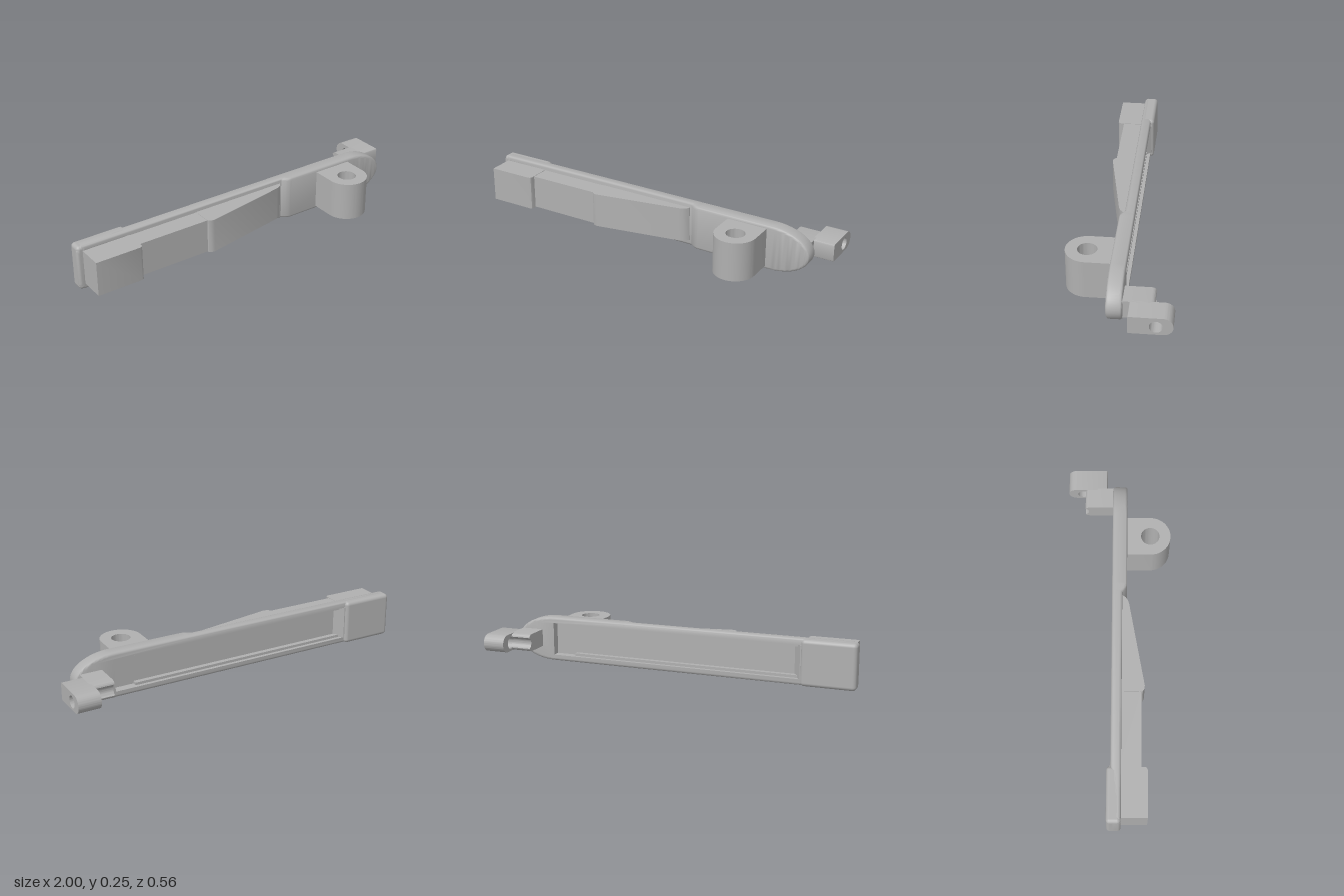
import * as THREE from 'three';
import { toCreasedNormals } from 'three/addons/utils/BufferGeometryUtils.js';
import { RoundedBoxGeometry } from 'three/addons/geometries/RoundedBoxGeometry.js';

const CY = 0.1225; // mid height and half height of the body
const X0 = -1, X1 = 0.915, CX = (X0 + X1) / 2, HX = (X1 - X0) / 2;

// half height of the body outline at x
function halfHeight(x) {
  if (x < -0.97) return CY - 0.03 + Math.sqrt(Math.max(0, 0.0009 - (x + 0.97) ** 2));
  if (x > 0.7) return CY * Math.sqrt(Math.max(0, 1 - ((x - 0.7) / 0.215) ** 2));
  return CY;
}

// front surface: thin along the left, stepping up to a thick pad
function frontZ(x) {
  const t = THREE.MathUtils.clamp((x - 0.24) / 0.05, 0, 1);
  return 0.02 + 0.025 * Math.sin(t * Math.PI / 2);
}

function stations() {
  const xs = [];
  for (let i = 0; i <= 6; i++) xs.push(-0.97 - 0.03 * Math.cos(i / 6 * Math.PI / 2));
  for (let i = 0; i <= 5; i++) xs.push(0.24 + 0.01 * i);
  for (let i = 0; i <= 20; i++) xs.push(0.7 + 0.215 * Math.sin(i / 20 * Math.PI / 2));
  return xs;
}

// closed outline (counter-clockwise from the front), inset by d
function outline(d, zOf) {
  const xs = stations(), sx = 1 - d / HX, sy = 1 - d / CY;
  const at = (x, s) => new THREE.Vector3(CX + (x - CX) * sx, CY + s * halfHeight(x) * sy, zOf(x));
  return [...xs.map(x => at(x, -1)), ...xs.map(x => at(x, 1)).reverse()];
}

function bodyShell() {
  const pos = [];
  const quad = (a, b, c, d) => [a, b, c, a, c, d].forEach(p => pos.push(p.x, p.y, p.z));
  const loops = [];
  const R = 0.014, steps = 4;
  for (let i = 0; i <= steps; i++) { // rounded back edge
    const t = i / steps * Math.PI / 2;
    loops.push(outline(R * (1 - Math.sin(t)), () => -0.035 + R * (1 - Math.cos(t))));
  }
  for (let i = 0; i <= steps; i++) { // rounded front edge
    const t = i / steps * Math.PI / 2;
    loops.push(outline(R * (1 - Math.cos(t)), x => frontZ(x) - R * (1 - Math.sin(t))));
  }
  const n = loops[0].length;
  for (let k = 0; k + 1 < loops.length; k++)
    for (let i = 0; i < n; i++) {
      const j = (i + 1) % n;
      quad(loops[k][i], loops[k][j], loops[k + 1][j], loops[k + 1][i]);
    }
  const f = loops[loops.length - 1]; // front face
  for (let i = 0; i < n / 2 - 1; i++) quad(f[i], f[i + 1], f[n - 2 - i], f[n - 1 - i]);
  // recess walls and floor
  const rect = z => [[-0.72, 0.033], [0.7, 0.033], [0.7, 0.213], [-0.72, 0.213]]
    .map(p => new THREE.Vector3(p[0], p[1], z));
  const a = rect(-0.035), b = rect(0.01);
  for (let i = 0; i < 4; i++) {
    const j = (i + 1) % 4;
    quad(a[j], a[i], b[i], b[j]);
  }
  quad(b[3], b[2], b[1], b[0]);
  // back face around the recess
  const shape = new THREE.Shape(loops[0].map(p => new THREE.Vector2(p.x, p.y)));
  shape.holes.push(new THREE.Path(a.map(p => new THREE.Vector2(p.x, p.y)).reverse()));
  const s = new THREE.ShapeGeometry(shape).toNonIndexed().attributes.position;
  for (let i = 0; i < s.count; i += 3)
    for (const k of [0, 2, 1]) pos.push(s.getX(i + k), s.getY(i + k), -0.035);
  const g = new THREE.BufferGeometry();
  g.setAttribute('position', new THREE.Float32BufferAttribute(pos, 3));
  return toCreasedNormals(g, 0.6);
}

const poly = pts => new THREE.Shape(pts.map(p => new THREE.Vector2(p[0], p[1])));

// extrude an (x, z) shape between two heights
function extrudeY(shape, y0, y1) {
  const g = new THREE.ExtrudeGeometry(shape, { depth: y1 - y0, bevelEnabled: false, curveSegments: 24 });
  return toCreasedNormals(g.rotateX(Math.PI / 2).translate(0, y1, 0), 0.5);
}

// extrude a (z, y) shape between two x positions
function extrudeX(shape, x0, x1) {
  const g = new THREE.ExtrudeGeometry(shape, { depth: x1 - x0, bevelEnabled: false, curveSegments: 20 });
  return toCreasedNormals(g.rotateY(-Math.PI / 2).translate(x1, 0, 0), 0.5);
}

export function createModel() {
  const group = new THREE.Group();
  const grey = new THREE.MeshStandardMaterial({ color: 0xb0b0b0, side: THREE.DoubleSide });
  grey.name = 'plain grey';
  const add = (name, geometry, x = 0, y = 0, z = 0) => {
    const m = new THREE.Mesh(geometry, grey);
    m.name = name;
    m.position.set(x, y, z);
    group.add(m);
  };

  add('body', bodyShell());
  add('endCap', new RoundedBoxGeometry(0.29, 0.245, 0.075, 4, 0.02), -0.855, CY, -0.0175);

  // inside of the recess: side rails and the ramp by the cap
  for (const [name, y] of [['lowerRail', 0.04], ['upperRail', 0.206]])
    add(name, new THREE.BoxGeometry(1.3, 0.014, 0.026), -0.07, y, -0.003);
  add('recessRamp', extrudeY(poly([[-0.72, 0.011], [-0.72, -0.04], [-0.705, -0.04], [-0.665, 0.011]]), 0.033, 0.213));

  // raised blocks on the front
  add('endBlock', extrudeY(poly([[-0.97, 0.011], [-0.71, 0.011], [-0.71, 0.14], [-0.714, 0.15],
    [-0.725, 0.155], [-0.97, 0.155]]), 0.032, 0.22));
  add('middleBlock', extrudeY(poly([[-0.71, 0.011], [-0.31, 0.011], [-0.31, 0.122], [-0.71, 0.122]]), 0.034, 0.218));
  add('wedge', extrudeY(poly([[-0.314, 0.011], [0.225, 0.011], [0.225, 0.022], [0.215, 0.037], [0.2, 0.048],
    [0.18, 0.056], [-0.28, 0.14], [-0.298, 0.138], [-0.31, 0.13], [-0.314, 0.118]]), 0.032, 0.22));

  // round lug with an upright hole
  const lug = new THREE.Shape();
  lug.moveTo(0.46, 0.03);
  lug.lineTo(0.68, 0.03);
  lug.lineTo(0.68, 0.17);
  lug.absarc(0.57, 0.17, 0.11, 0, Math.PI, false);
  lug.closePath();
  lug.holes.push(new THREE.Path().absarc(0.57, 0.17, 0.05, 0, Math.PI * 2, true));
  add('lug', extrudeY(lug, 0.017, 0.228));

  // stem behind the tip, hollowed where the pin hole passes
  const stem = new THREE.Shape();
  stem.moveTo(-0.02, 0.077);
  stem.lineTo(-0.02, 0.172);
  stem.lineTo(-0.165, 0.172);
  stem.quadraticCurveTo(-0.185, 0.17, -0.188, 0.154);
  stem.absarc(-0.2, 0.1245, 0.032, 1.19, -1.19, true);
  stem.quadraticCurveTo(-0.185, 0.079, -0.165, 0.077);
  stem.closePath();
  add('hookStem', extrudeX(stem, 0.77, 0.89));

  // eye arm with a sideways hole
  const arm = new THREE.Shape();
  arm.moveTo(-0.067, 0.087);
  arm.lineTo(-0.067, 0.162);
  arm.quadraticCurveTo(-0.067, 0.172, -0.077, 0.172);
  arm.lineTo(-0.2345, 0.172);
  arm.absarc(-0.2345, 0.1245, 0.0475, Math.PI / 2, Math.PI * 1.5, false);
  arm.lineTo(-0.077, 0.077);
  arm.quadraticCurveTo(-0.067, 0.077, -0.067, 0.087);
  arm.holes.push(new THREE.Path().absarc(-0.2, 0.1215, 0.032, 0, Math.PI * 2, true));
  add('hookArm', extrudeX(arm, 0.88, 1));

  return group;
}
